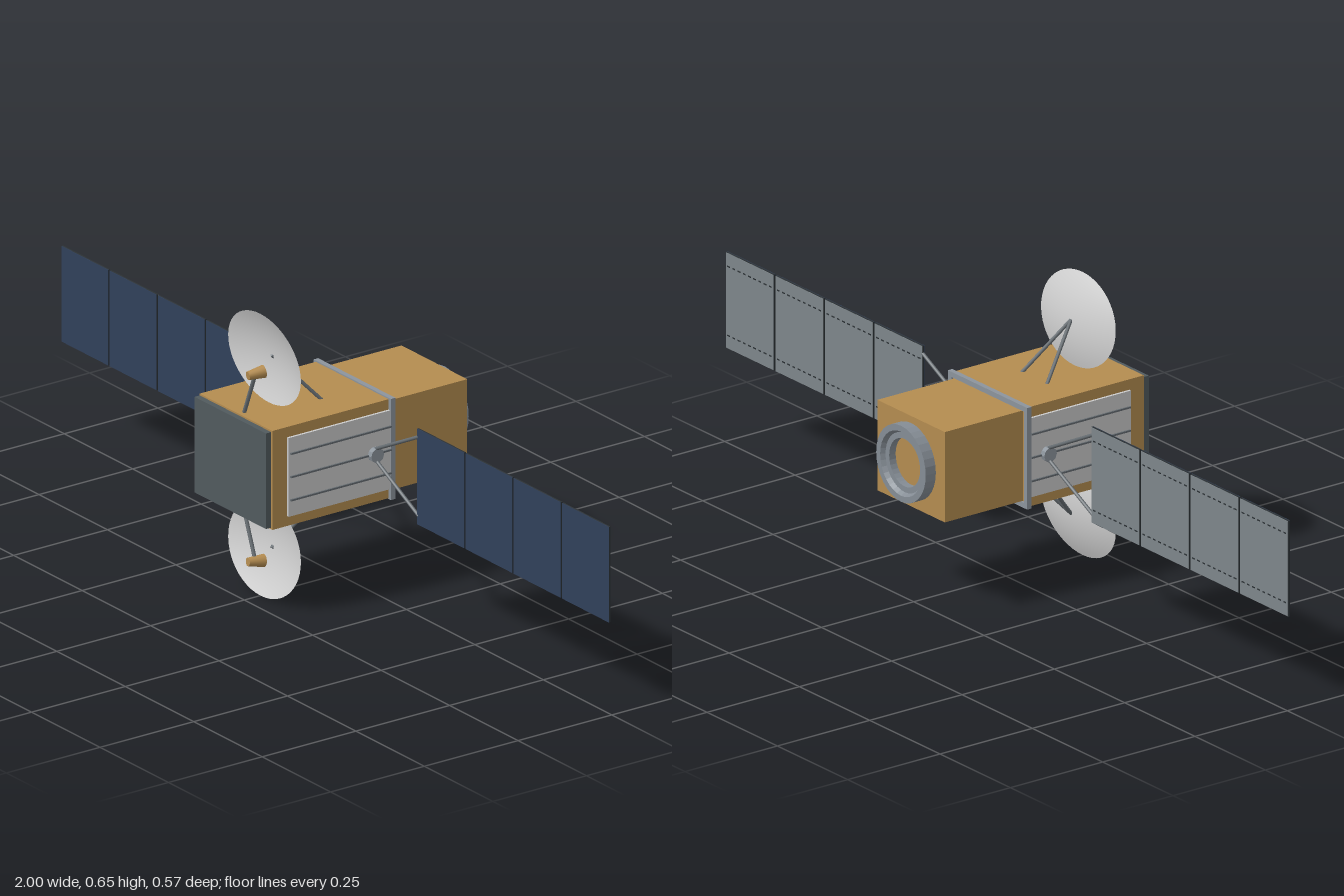
import * as THREE from 'three';

const mat = (name, color, extra = {}) => {
  const m = new THREE.MeshStandardMaterial({ color, ...extra });
  m.name = name;
  return m;
};

export function createModel() {
  const foil = mat('gold foil', 0xb48c50);
  const darkPlate = mat('dark plate', 0x515a5e);
  const metal = mat('grey metal', 0x8c949c, { flatShading: true });
  const strutMat = mat('strut grey', 0x666d72);
  const radiatorMat = mat('radiator white', 0xcacaca);
  const dishMat = mat('dish white', 0xd2d2d2, { side: THREE.DoubleSide });
  const cellMat = mat('solar cell blue', 0x30405a);
  const backMat = mat('panel back grey', 0x7e868a);
  const edgeMat = mat('panel edge dark', 0x2c3236);

  const model = new THREE.Group();
  model.name = 'satellite';
  const CY = 0.333; // height of the main axis

  const add = (name, geo, material, x = 0, y = 0, z = 0, parent = model) => {
    const m = new THREE.Mesh(geo, material);
    m.name = name;
    m.position.set(x, y, z);
    parent.add(m);
    return m;
  };
  const box = (name, w, h, d, material, x, y, z, parent) =>
    add(name, new THREE.BoxGeometry(w, h, d), material, x, y, z, parent);
  const rod = (name, a, b, r, material, parent) => {
    const p = new THREE.Vector3(...a), q = new THREE.Vector3(...b);
    const dir = q.clone().sub(p);
    const m = add(name, new THREE.CylinderGeometry(r, r, dir.length(), 8), material, 0, 0, 0, parent);
    m.position.copy(p).add(q).multiplyScalar(0.5);
    m.quaternion.setFromUnitVectors(new THREE.Vector3(0, 1, 0), dir.normalize());
    return m;
  };

  // Main bus, rear module, front plate
  box('frontBody', 0.266, 0.23, 0.317, foil, 0, 0.332, 0.1135);
  box('rearBody', 0.24, 0.209, 0.212, foil, 0, 0.3325, -0.151);
  box('frontPlate', 0.261, 0.222, 0.014, darkPlate, -0.002, 0.332, 0.279);

  // Collar frame where the two modules meet
  for (const s of [-1, 1]) {
    box('collarSide', 0.012, 0.235, 0.012, metal, s * 0.135, 0.3325, -0.044);
    box('collarBar', 0.282, 0.012, 0.012, metal, 0, 0.3325 + s * 0.1115, -0.044);
  }

  // Open adapter ring on the rear face
  const ring = new THREE.LatheGeometry([
    [0.055, 0], [0.055, 0.018], [0.068, 0.018], [0.074, 0.028], [0.088, 0.028], [0.088, 0], [0.055, 0],
  ].map(([r, h]) => new THREE.Vector2(r, h)).reverse(), 32);
  ring.rotateX(-Math.PI / 2);
  const ringMat = mat('ring grey', 0x858d95, { flatShading: true, side: THREE.DoubleSide });
  add('adapterRing', ring, ringMat, 0, CY, -0.2565);

  // Both flanks: radiator, pipes, hub and solar wing
  for (const s of [-1, 1]) {
    box('radiator', 0.007, 0.183, 0.276, radiatorMat, s * 0.1355, 0.3315, 0.095);
    for (const dy of [-0.054, 0, 0.054])
      box('radiatorPipe', 0.005, 0.004, 0.268, strutMat, s * 0.1405, 0.332 + dy, 0.095);

    const hub = new THREE.CylinderGeometry(0.017, 0.017, 0.014, 10);
    hub.rotateZ(Math.PI / 2);
    add('wingHub', hub, metal, s * 0.145, 0.332, 0.005);

    const wing = new THREE.Group();
    wing.name = s > 0 ? 'leftWing' : 'rightWing';
    model.add(wing);
    for (const v of [-1, 1])
      rod('wingStrut', [s * 0.143, CY + v * 0.012, 0.005], [s * 0.302, CY + v * 0.092, 0.005], 0.004, strutMat, wing);

    const H = 0.222, W = 0.171;
    for (let i = 0; i < 4; i++) {
      const x = s * (0.3 + W / 2 + i * 0.1763);
      box('panelCore', W, H, 0.004, edgeMat, x, CY, 0.005, wing);
      box('panelCells', W, H, 0.001, cellMat, x, CY, 0.0075, wing);
      box('panelBack', W - 0.002, H - 0.002, 0.001, backMat, x, CY, 0.0025, wing);
      // rows of small fasteners on the back
      for (const v of [-1, 1])
        for (let k = 0; k < 9; k++)
          box('fastener', 0.009, 0.003, 0.001, edgeMat, x + (k - 4) * 0.0185, CY + v * 0.08, 0.0018, wing);
    }
  }

  // Upper and lower antenna: oval dish, two braces, feed horn on a mast
  const profile = [];
  for (let i = 0; i <= 10; i++) profile.push(new THREE.Vector2(i / 10, (i / 10) ** 2 - 1));
  const dishGeo = new THREE.LatheGeometry(profile, 48);
  dishGeo.scale(0.132, 0.021, 0.106);
  dishGeo.rotateX(Math.PI / 2);
  const hornGeo = new THREE.CylinderGeometry(0.0095, 0.0145, 0.039, 16);
  hornGeo.rotateX(Math.PI / 2);

  for (const s of [-1, 1]) {
    const antenna = new THREE.Group();
    antenna.name = s > 0 ? 'upperAntenna' : 'lowerAntenna';
    antenna.position.y = CY;
    model.add(antenna);

    const dish = add('dish', dishGeo, dishMat, 0, s * 0.222, 0.196, antenna);
    dish.rotation.x = s * 0.104;
    for (const t of [-1, 1])
      rod('dishBrace', [0, s * 0.224, 0.176], [t * 0.045, s * 0.111, 0.076], 0.004, strutMat, antenna);

    rod('feedMast', [0.008, s * 0.11, 0.257], [0.05, s * 0.21, 0.259], 0.0045, strutMat, antenna);
    const horn = add('feedHorn', hornGeo, foil, 0.053, s * 0.218, 0.258, antenna);
    horn.rotation.x = s * 0.09;
    horn.rotation.y = -0.15;
  }

  return model;
}
